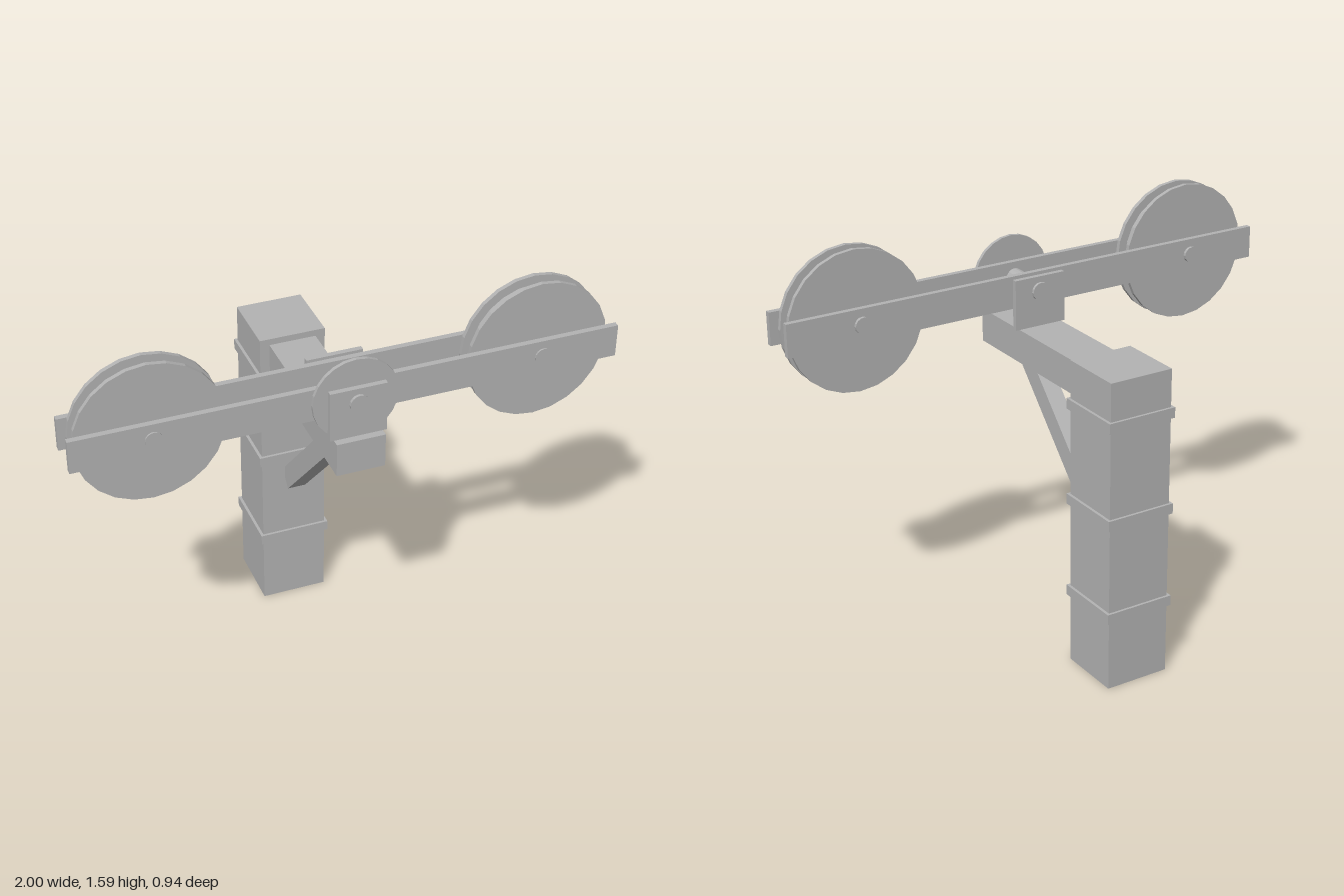
import * as THREE from 'three';

const grey = new THREE.MeshStandardMaterial({ color: 0xb3b3b3, flatShading: true });
grey.name = 'plain grey';

const AXLE_Y = 1.32; // height of all three axles
const MID_Z = 0.32; // centre plane of the wheels

export function createModel() {
  const model = new THREE.Group();
  model.name = 'pulleyStand';

  const add = (name, geometry, x, y, z) => {
    const mesh = new THREE.Mesh(geometry, grey);
    mesh.name = name;
    mesh.position.set(x, y, z);
    model.add(mesh);
    return mesh;
  };
  const box = (name, w, h, d, x, y, z) => add(name, new THREE.BoxGeometry(w, h, d), x, y, z);
  // Cylinder lying along z, at axle height
  const disc = (name, r, depth, x, z, sides = 24) =>
    add(name, new THREE.CylinderGeometry(r, r, depth, sides).rotateX(Math.PI / 2), x, AXLE_Y, z);

  // Post with three bands
  box('post', 0.254, 1.21, 0.256, 0, 0.605, -0.332);
  for (const y of [0.295, 0.67, 1.045]) box('postBand', 0.276, 0.04, 0.276, 0, y, -0.332);

  // Horizontal arm and its diagonal brace
  box('arm', 0.18, 0.13, 0.675, 0, 1.12, 0.1325);
  box('brace', 0.07, 0.68, 0.08, 0, 0.8145, 0.0335).rotation.x = 0.754;

  // Rails and bracket plates on both sides of the wheels
  for (const side of [-1, 1]) {
    box('rail', 2, 0.125, 0.022, 0, AXLE_Y - 0.002, MID_Z + side * 0.07);
    box('bracketPlate', 0.21, 0.192, 0.02, 0, 1.281, MID_Z + side * 0.112);
  }

  // Central pivot pin and washer disc
  disc('pivotPin', 0.035, 0.266, 0, MID_Z, 16);
  disc('pivotDisc', 0.158, 0.014, 0, 0.409);

  // Grooved wheels with their axles
  for (const x of [-0.71, 0.71]) {
    disc('wheelDrum', 0.234, 0.06, x, MID_Z);
    for (const side of [-1, 1]) disc('wheelFlange', 0.267, 0.017, x, MID_Z + side * 0.031);
    disc('wheelAxle', 0.031, 0.18, x, MID_Z - 0.003, 16);
  }
  return model;
}
